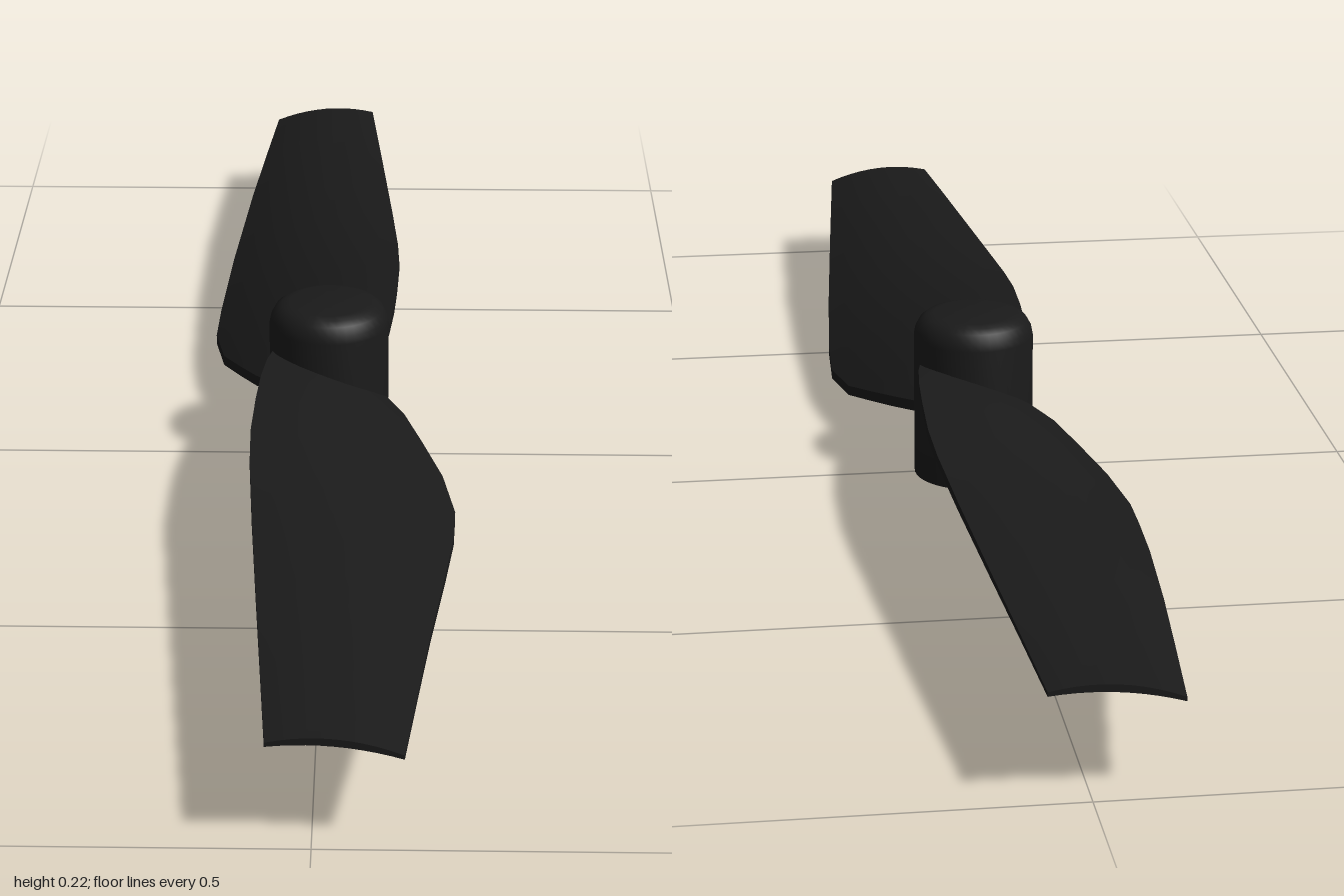
import * as THREE from 'three';
import { toCreasedNormals } from 'three/addons/utils/BufferGeometryUtils.js';

// Blade stations: z, trailing x, y (high edge), leading x, y (low edge), camber, thickness
const STATIONS = [
  [0.00, -0.070, 0.150, 0.065, 0.090, 0.006, 0.026],
  [0.06, -0.080, 0.157, 0.100, 0.079, 0.010, 0.026],
  [0.12, -0.086, 0.160, 0.124, 0.066, 0.015, 0.025],
  [0.19, -0.090, 0.160, 0.150, 0.051, 0.019, 0.024],
  [0.28, -0.093, 0.157, 0.165, 0.044, 0.021, 0.023],
  [0.36, -0.091, 0.153, 0.162, 0.050, 0.021, 0.022],
  [0.50, -0.083, 0.147, 0.150, 0.072, 0.019, 0.019],
  [0.70, -0.070, 0.140, 0.130, 0.097, 0.015, 0.015],
  [0.85, -0.060, 0.135, 0.115, 0.107, 0.012, 0.012],
  [1.00, -0.050, 0.129, 0.100, 0.115, 0.010, 0.009],
];
const CHORD_STEPS = 10;

// Closed airfoil ring: upper skin from high to low edge, then lower skin back
function section([z, x0, y0, x1, y1, camber, thick]) {
  const ring = [];
  const point = (t, side) => {
    const bow = 4 * t * (1 - t);
    const half = thick * (0.28 + 0.22 * bow);
    const y = y0 + (y1 - y0) * t + camber * bow + side * half;
    ring.push([x0 + (x1 - x0) * t, y, z]);
  };
  for (let i = 0; i <= CHORD_STEPS; i++) point(i / CHORD_STEPS, 1);
  for (let i = CHORD_STEPS; i >= 0; i--) point(i / CHORD_STEPS, -1);
  return ring;
}

function bladeGeometry() {
  const rings = STATIONS.map(section);
  const n = rings[0].length;
  const positions = rings.flat(2);
  const index = [];
  for (let k = 0; k < rings.length - 1; k++) {
    for (let i = 0; i < n; i++) {
      const j = (i + 1) % n;
      const a = k * n + i, b = k * n + j;
      index.push(a, a + n, b, b, a + n, b + n);
    }
  }
  // flat tip, stitched between the two skins
  const tip = (rings.length - 1) * n;
  for (let i = 0; i < CHORD_STEPS; i++) {
    const a = tip + i, b = a + 1;
    const c = tip + n - 1 - i, d = c - 1;
    index.push(a, c, b, b, c, d);
  }
  const geometry = new THREE.BufferGeometry();
  geometry.setAttribute('position', new THREE.Float32BufferAttribute(positions, 3));
  geometry.setIndex(index);
  return toCreasedNormals(geometry, 0.7);
}

export function createModel() {
  const model = new THREE.Group();
  model.name = 'propeller';
  const material = new THREE.MeshStandardMaterial({ color: 0x1a1a1a });

  // hub: upright cylinder with a softly rounded top
  const profile = [
    [0, 0], [0.079, 0], [0.079, 0.192], [0.077, 0.202],
    [0.071, 0.213], [0.063, 0.219], [0.053, 0.222], [0, 0.222],
  ].map(([r, y]) => new THREE.Vector2(r, y));
  const hub = new THREE.Mesh(
    toCreasedNormals(new THREE.LatheGeometry(profile, 40), 0.7), material);
  hub.name = 'hub';
  model.add(hub);

  // two identical blades, half a turn apart
  const geometry = bladeGeometry();
  ['frontBlade', 'backBlade'].forEach((name, i) => {
    const blade = new THREE.Mesh(geometry, material);
    blade.name = name;
    blade.rotation.y = i * Math.PI;
    model.add(blade);
  });
  return model;
}
